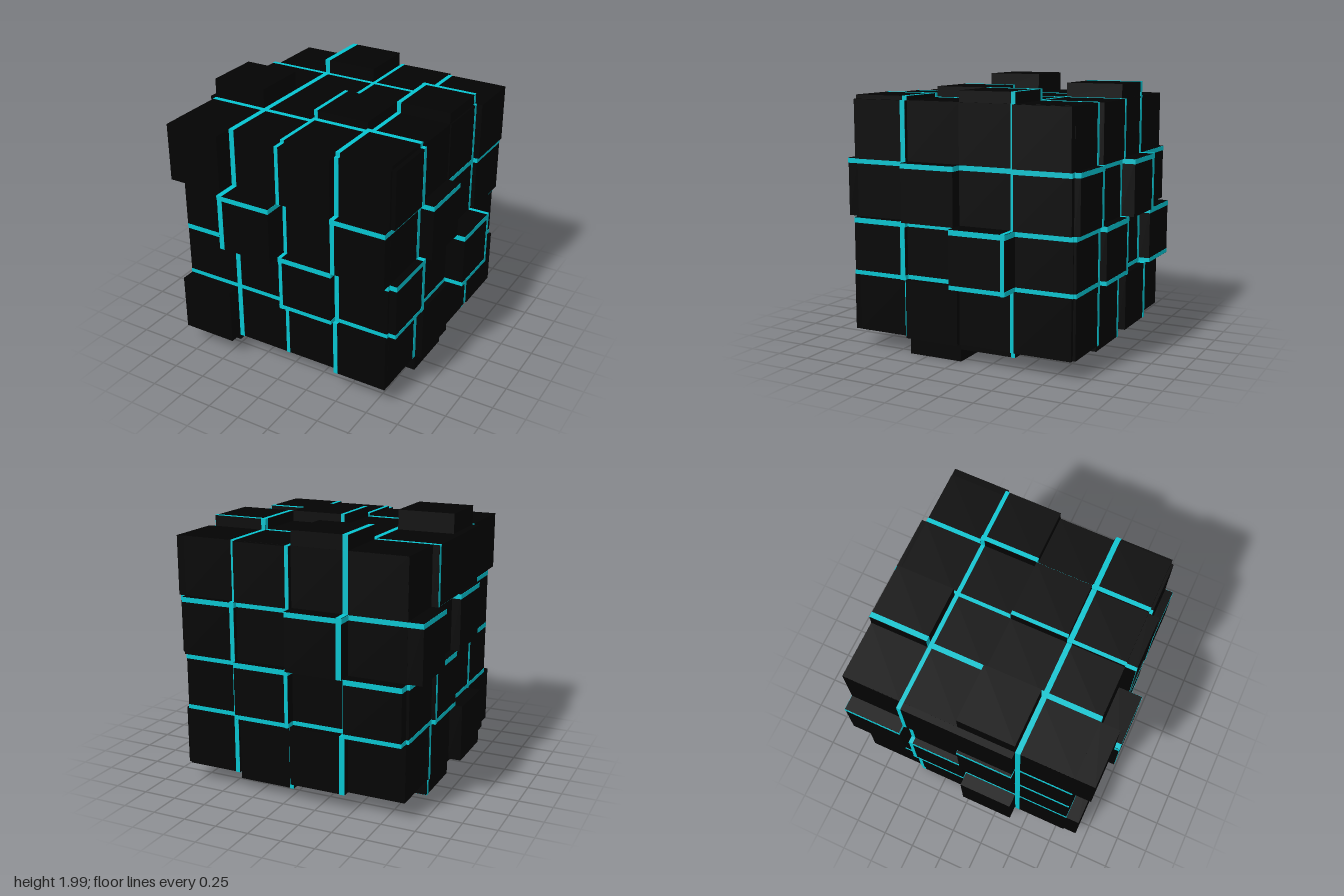
import * as THREE from 'three';
import { mergeGeometries } from 'three/addons/utils/BufferGeometryUtils.js';

// Cell edges and accent strip ranges along x, y, z
const EDGES = [
  [-0.88, -0.455, -0.03, 0.4, 0.82],
  [0.13, 0.56, 0.985, 1.41, 1.84],
  [-0.89, -0.46, -0.03, 0.39, 0.82],
];
const STRIPS = [
  [[-0.455, -0.412], [-0.03, 0.002], [0.4, 0.437]],
  [[0.56, 0.595], [0.943, 0.985], [1.37, 1.41]],
  [[-0.46, -0.426], [0.39, 0.432]],
];
const PROUD = 0.002; // how far a strip stands out of its tile

// Tile heights per face in hundredths. Side faces: rows from top to bottom;
// top and bottom: rows from back to front. Columns run along +x (or +z on the x faces).
const FACES = [
  { name: 'front', axis: 2, dir: 1, u: 0, v: 1,
    h: [[14.5, 0, 8, 2], [0.5, 18, 0, 8], [0, 0, 7.5, 2], [10.5, 0, 0, 4.5]] },
  { name: 'back', axis: 2, dir: -1, u: 0, v: 1,
    h: [[0, 0, 3.5, 0], [0, 11, 1, 4.5], [8.5, 0, 7, 2], [0, 5.5, 0, 2]] },
  { name: 'left', axis: 0, dir: 1, u: 2, v: 1,
    h: [[5.5, 1, 0, 3], [4, 1, 10.3, 0], [1, 16.5, 2, 5.5], [3, 2, 5.5, 0]] },
  { name: 'right', axis: 0, dir: -1, u: 2, v: 1,
    h: [[0, 5, 5, 0], [11, 0, 7, 0], [2, 5, 0, 0], [0, 1, 10.5, 0]] },
  { name: 'top', axis: 1, dir: 1, u: 0, v: 2,
    h: [[0, 10.5, 0, 0], [0, 0, 0, 8], [14.5, 0, 8, 0], [0, 0, 2, 3]] },
  { name: 'bottom', axis: 1, dir: -1, u: 0, v: 2,
    h: [[0, 0, 5.5, 0], [12, 7, 3, 4], [3, 3, 7.5, 13], [4.5, 0, 0, 0]] },
];

const boxBetween = (min, max) =>
  new THREE.BoxGeometry(...max.map((m, i) => m - min[i]))
    .translate(...max.map((m, i) => (m + min[i]) / 2));

// Accent bars of one tile: proud on the outside and at the ends, set in from the tile's edge
function stripBars(axis, dir, across, along, min, max) {
  return STRIPS[across]
    .filter(([s, e]) => s >= min[across] && e <= max[across])
    .map(([s, e]) => {
      const lo = [...min], hi = [...max];
      lo[across] = s + PROUD;
      hi[across] = e - PROUD;
      lo[along] -= PROUD;
      hi[along] += PROUD;
      if (dir > 0) hi[axis] += PROUD; else lo[axis] -= PROUD;
      return boxBetween(lo, hi);
    });
}

export function createModel() {
  const model = new THREE.Group();
  const dark = new THREE.MeshStandardMaterial({ color: 0x030303 });
  const cyan = new THREE.MeshStandardMaterial({ color: 0x06c4d0 });
  const add = (parent, name, geometry, material) => {
    const mesh = new THREE.Mesh(geometry, material);
    mesh.name = name;
    parent.add(mesh);
  };

  // Solid core
  add(model, 'core', boxBetween(EDGES.map(e => e[0]), EDGES.map(e => e[4])), dark);

  // Raised tiles on each face, with accent strips along their edges
  for (const { name, axis, dir, u, v, h } of FACES) {
    const tiles = [], strips = [];
    const base = EDGES[axis][dir > 0 ? 4 : 0];
    h.forEach((heights, row) => heights.forEach((height, i) => {
      const j = v === 1 ? 3 - row : row;
      const tip = base + dir * Math.max(height / 100, 0.001);
      const min = [], max = [];
      min[axis] = Math.min(base, tip);
      max[axis] = Math.max(base, tip);
      [min[u], max[u]] = [EDGES[u][i], EDGES[u][i + 1]];
      [min[v], max[v]] = [EDGES[v][j], EDGES[v][j + 1]];
      tiles.push(boxBetween(min, max));
      strips.push(...stripBars(axis, dir, u, v, min, max), ...stripBars(axis, dir, v, u, min, max));
    }));
    const face = new THREE.Group();
    face.name = name + 'Face';
    add(face, name + 'Tiles', mergeGeometries(tiles), dark);
    add(face, name + 'AccentStrips', mergeGeometries(strips), cyan);
    model.add(face);
  }
  return model;
}
